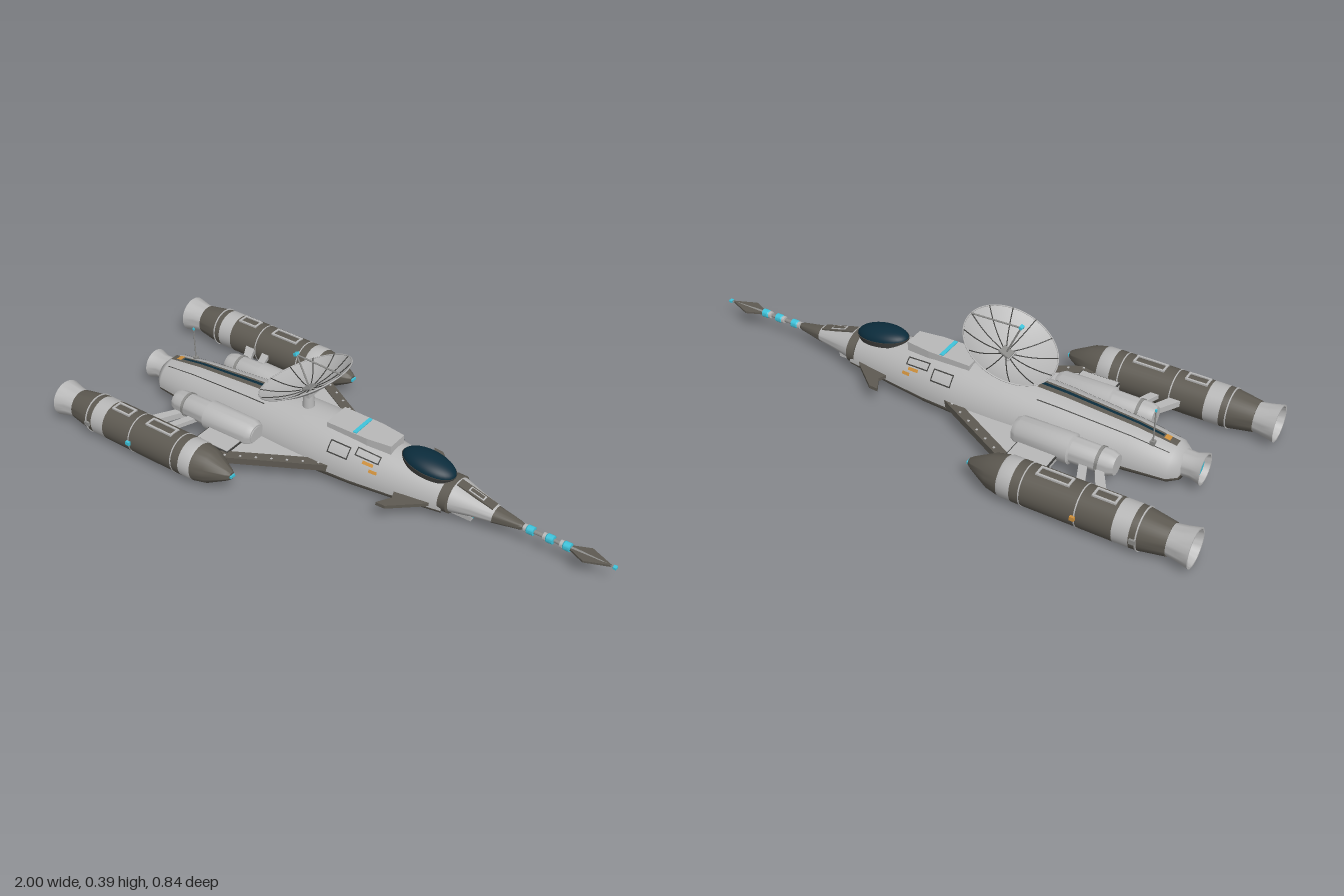
import * as THREE from 'three';
import { toCreasedNormals } from 'three/addons/utils/BufferGeometryUtils.js';

const mat = (name, color, side = THREE.FrontSide) => {
  const m = new THREE.MeshStandardMaterial({ color, side });
  m.name = name;
  return m;
};

export function createModel() {
  const root = new THREE.Group();
  root.name = 'spaceship';
  const light = mat('light hull grey', 0xb8b8b8);
  const dishGrey = mat('dish grey', 0xb8b8b8, THREE.DoubleSide);
  const mid = mat('mid grey', 0x8c8c8a);
  const dark = mat('dark warm grey', 0x5e5a52);
  const trim = mat('charcoal trim', 0x3e3e3c);
  const glass = mat('canopy blue', 0x0b2c3c);
  const cyan = mat('cyan light', 0x3fc4dc);
  const orange = mat('orange marker', 0xd0913c);

  const add = (name, geo, m, x = 0, y = 0, z = 0, parent = root) => {
    const mesh = new THREE.Mesh(geo, m);
    mesh.name = name;
    mesh.position.set(x, y, z);
    parent.add(mesh);
    return mesh;
  };
  const box = (name, m, w, h, d, x, y, z, parent) => add(name, new THREE.BoxGeometry(w, h, d), m, x, y, z, parent);
  // Turned part along x from [x, radius] points
  const turned = (name, m, pts, y, z, seg = 32, parent = root) => {
    const g = new THREE.LatheGeometry(pts.map(([x, r]) => new THREE.Vector2(r, x)), seg).rotateZ(-Math.PI / 2);
    return add(name, toCreasedNormals(g, 0.6), m, 0, y, z, parent);
  };
  const rod = (name, m, a, b, r, parent = root) => {
    const curve = new THREE.LineCurve3(new THREE.Vector3(...a), new THREE.Vector3(...b));
    return add(name, new THREE.TubeGeometry(curve, 1, r, 8), m, 0, 0, 0, parent);
  };
  // Flat plate from [x, z] corners with its top at y
  const plate = (name, m, pts, thick, y, s = 1) => {
    const shape = new THREE.Shape(pts.map(([x, z]) => new THREE.Vector2(x, z * s)));
    const g = new THREE.ExtrudeGeometry(shape, { depth: thick, bevelEnabled: false }).rotateX(Math.PI / 2);
    return add(name, g, m, 0, y, 0);
  };

  // Grid of points skinned into a surface
  const surface = (fn, us, nv) => {
    const pos = [], idx = [];
    us.forEach((u, i) => {
      for (let j = 0; j <= nv; j++) {
        pos.push(...fn(u, j / nv));
        if (i && j) {
          const b = i * (nv + 1) + j, a = b - nv - 1;
          idx.push(a - 1, b - 1, b, a - 1, b, a);
        }
      }
    });
    const g = new THREE.BufferGeometry();
    g.setAttribute('position', new THREE.Float32BufferAttribute(pos, 3));
    g.setIndex(idx);
    g.computeVertexNormals();
    return g;
  };

  // Fuselage stations: x, half width, top, bottom
  const seam = 0.058;
  const stations = [
    [-0.825, 0.002, 0.06, 0.056], [-0.82, 0.06, 0.118, 0.03], [-0.79, 0.086, 0.138, 0.022], [-0.65, 0.1, 0.16, 0.01],
    [-0.4, 0.119, 0.181, 0.001], [-0.2, 0.127, 0.189, 0], [-0.05, 0.128, 0.191, 0], [0.08, 0.12, 0.186, 0.004],
    [0.22, 0.102, 0.17, 0.013], [0.32, 0.087, 0.157, 0.021], [0.41, 0.073, 0.144, 0.029]];
  const hullPoint = (x, a, off = 0) => {
    let i = 1;
    while (i < stations.length - 1 && x > stations[i][0]) i++;
    const p = stations[i - 1], q = stations[i], t = (x - p[0]) / (q[0] - p[0]);
    const [, w, top, bot] = p.map((v, k) => v + (q[k] - v) * t);
    const h = Math.sin(a) >= 0 ? top - seam : seam - bot;
    return [x, seam + (h + off) * Math.sin(a), (w + off) * Math.cos(a)];
  };
  const xs = stations.map(s => s[0]);
  const patch = (name, m, x0, x1, a0, a1, off = 0.003, nv = 4) => {
    const us = [x0, ...xs.filter(x => x > x0 && x < x1), x1];
    return add(name, surface((x, v) => hullPoint(x, a0 + (a1 - a0) * v, off), us, nv), m);
  };
  const PI = Math.PI, mid90 = PI / 2;
  patch('upperHull', light, -0.825, 0.41, 0, PI, 0, 32);
  patch('lowerHull', dark, -0.825, 0.41, PI, 2 * PI, 0, 32);

  // Spine stripe and rear deck lines
  patch('spineStripe', dark, -0.79, -0.3, mid90 - 0.17, mid90 + 0.17, 0.005);
  patch('spineLine', glass, -0.74, -0.3, mid90 - 0.05, mid90 + 0.05, 0.008);
  patch('spineMarker', orange, -0.765, -0.745, mid90 - 0.12, mid90 + 0.12, 0.009);
  const panelFrame = (x0, x1, a0, a1) => {
    const t = 0.004, b = 0.035;
    patch('panelLine', trim, x0, x1, a0, a0 + b);
    patch('panelLine', trim, x0, x1, a1 - b, a1);
    patch('panelLine', trim, x0, x0 + t, a0, a1);
    patch('panelLine', trim, x1 - t, x1, a0, a1);
  };
  for (const s of [1, -1]) {
    const A = (lo, hi) => (s > 0 ? [lo, hi] : [PI - hi, PI - lo]);
    patch('deckLine', trim, -0.78, -0.32, ...A(1.03, 1.06));
    panelFrame(-0.02, 0.06, ...A(0.55, 0.9));
    panelFrame(0.08, 0.17, ...A(0.75, 1.0));
    patch('sideMarker', orange, 0.115, 0.155, ...A(0.62, 0.71), 0.005);
    patch('sideMarker', orange, 0.145, 0.175, ...A(0.46, 0.55), 0.005);
  }

  // Tail engine
  turned('tailNozzle', light, [[-0.84, 0], [-0.84, 0.035], [-0.885, 0.048], [-0.885, 0.054], [-0.85, 0.043], [-0.8, 0.045]], 0.078, 0);
  turned('tailGlow', cyan, [[-0.868, 0], [-0.868, 0.036], [-0.86, 0.036]], 0.078, 0);

  // Dorsal deck plate and canopy
  plate('dorsalPlate', light, [[-0.06, -0.052], [0.1, -0.05], [0.19, -0.038], [0.19, 0.038], [0.1, 0.05], [-0.06, 0.052]], 0.04, 0.199);
  box('deckLight', cyan, 0.014, 0.004, 0.094, 0.05, 0.2, 0);
  const canopy = new THREE.Group();
  canopy.name = 'canopy';
  canopy.position.set(0.315, 0.162, 0);
  canopy.rotation.z = -0.13;
  root.add(canopy);
  const dome = new THREE.SphereGeometry(1, 32, 12, 0, 2 * PI, 0, PI / 2);
  add('canopyGlass', dome, glass, 0, 0, 0, canopy).scale.set(0.1, 0.036, 0.056);
  const sill = new THREE.CylinderGeometry(1, 0.94, 0.02, 40);
  add('canopySill', sill, trim, 0, -0.008, 0, canopy).scale.set(0.102, 1, 0.058);

  // Collar and nose cone, wider than tall and drooping forward
  turned('collar', dark, [[0.395, 0], [0.395, 0.076], [0.425, 0.076], [0.43, 0.066], [0.43, 0]], 0.086, 0, 40).scale.y = 0.79;
  const cone = turned('noseCone', light, [[0.425, 0.069], [0.5, 0.049], [0.575, 0.033]], 0.112, 0, 40);
  cone.scale.y = 0.82;
  cone.rotation.z = -0.06;
  turned('noseTip', dark, [[0.568, 0], [0.568, 0.033], [0.66, 0.016], [0.672, 0.011], [0.672, 0]], 0.076, 0, 24).scale.y = 0.88;
  const noseDeck = new THREE.Group();
  noseDeck.name = 'noseDeck';
  noseDeck.position.set(0.5, 0.122, 0);
  noseDeck.rotation.z = -0.27;
  root.add(noseDeck);
  box('noseStripe', dark, 0.14, 0.008, 0.034, 0, 0, 0, noseDeck);
  box('noseFrame', light, 0.06, 0.006, 0.022, 0, 0.003, 0, noseDeck);
  box('noseInset', dark, 0.05, 0.006, 0.013, 0, 0.0045, 0, noseDeck);
  box('chinSensor', light, 0.075, 0.018, 0.044, 0.455, 0.03, 0);
  box('chinLight', cyan, 0.006, 0.009, 0.016, 0.492, 0.03, 0);

  // Probe
  turned('probeBoom', mid, [[0.66, 0.008], [0.86, 0.006], [0.99, 0.003], [0.99, 0]], 0.075, 0, 12);
  for (const x of [0.7, 0.77, 0.83]) {
    turned('probeRing', light, [[x - 0.026, 0.007], [x - 0.024, 0.013], [x - 0.014, 0.013], [x - 0.012, 0.007]], 0.075, 0, 16);
    turned('probeLight', cyan, [[x - 0.014, 0.012], [x - 0.01, 0.015], [x + 0.012, 0.015], [x + 0.014, 0.006]], 0.075, 0, 16);
  }
  plate('probeBlade', dark, [[0.82, 0], [0.9, -0.035], [0.985, 0], [0.9, 0.035]], 0.007, 0.0785);
  box('probeTip', cyan, 0.012, 0.008, 0.014, 0.994, 0.075, 0);

  for (const s of [1, -1]) {
    // Wings, struts and foreplanes
    plate('wing', light, [[-0.02, 0.1], [-0.34, 0.285], [-0.46, 0.285], [-0.46, 0.08]], 0.02, 0.08, s);
    plate('wingEdge', dark, [[0.02, 0.11], [-0.02, 0.13], [-0.33, 0.3], [-0.36, 0.3], [-0.36, 0.275], [-0.06, 0.11]], 0.024, 0.084, s);
    plate('wingPanelEdge', trim, [[-0.464, 0.186], [-0.321, 0.186], [-0.321, 0.266], [-0.464, 0.266]], 0.006, 0.085, s);
    plate('wingPanel', light, [[-0.46, 0.19], [-0.325, 0.19], [-0.325, 0.262], [-0.46, 0.262]], 0.006, 0.087, s);
    for (let i = 0; i < 7; i++) {
      const t = i / 6;
      box('wingRivet', light, 0.007, 0.003, 0.007, -0.04 - 0.28 * t, 0.085, s * (0.128 + 0.152 * t));
    }
    plate('rearStrut', light, [[-0.6, 0.14], [-0.57, 0.14], [-0.65, 0.29], [-0.69, 0.29]], 0.022, 0.086, s);
    plate('rearStrutInner', light, [[-0.55, 0.14], [-0.52, 0.14], [-0.58, 0.29], [-0.61, 0.29]], 0.016, 0.083, s);
    plate('foreplane', dark, [[0.37, 0.075], [0.36, 0.088], [0.26, 0.174], [0.225, 0.176], [0.255, 0.125], [0.24, 0.09]], 0.012, 0.076, s);

    // Inboard engine
    turned('inboardEngine', light, [[-0.65, 0], [-0.65, 0.034], [-0.63, 0.042], [-0.5, 0.044], [-0.495, 0.052],
      [-0.31, 0.05], [-0.292, 0.04], [-0.292, 0]], 0.095, s * 0.143);
    turned('inboardBand', mid, [[-0.6, 0.04], [-0.6, 0.0455], [-0.59, 0.0455], [-0.59, 0.04]], 0.095, s * 0.143);
    turned('inboardIntake', light, [[-0.292, 0.034], [-0.289, 0.034], [-0.289, 0]], 0.095, s * 0.143);
    box('engineMount', mid, 0.12, 0.03, 0.05, -0.42, 0.09, s * 0.11);

    // Outboard engine pod
    const pod = new THREE.Group();
    pod.name = 'enginePod';
    pod.position.set(0, 0.075, s * 0.343);
    root.add(pod);
    const part = (name, m, pts) => turned(name, m, pts, 0, 0, 36, pod);
    part('podNozzle', light, [[-0.94, 0], [-0.94, 0.04], [-1, 0.059], [-1, 0.065], [-0.96, 0.056], [-0.92, 0.05]]);
    part('podGlow', cyan, [[-0.972, 0], [-0.972, 0.043], [-0.96, 0.043]]);
    part('podTail', dark, [[-0.925, 0], [-0.925, 0.054], [-0.84, 0.068], [-0.81, 0.07]]);
    part('podRearBand', light, [[-0.815, 0.07], [-0.76, 0.07]]);
    part('podBody', dark, [[-0.76, 0.07], [-0.415, 0.07]]);
    part('podFrontBand', light, [[-0.415, 0.07], [-0.375, 0.07], [-0.365, 0.066]]);
    part('podNose', dark, [[-0.367, 0.068], [-0.32, 0.058], [-0.25, 0.022], [-0.237, 0.013], [-0.237, 0]]);
    box('podTipLight', cyan, 0.009, 0.009, 0.022, -0.236, 0, 0, pod);
    for (const x of [-0.84, -0.64, -0.45]) {
      part('podRing', light, [[x, 0.067], [x, 0.0715], [x + 0.004, 0.0715], [x + 0.004, 0.067]]);
    }
    for (const [x0, x1] of [[-0.75, -0.67], [-0.595, -0.48]]) {
      const c = (x0 + x1) / 2;
      for (const e of [1, -1]) {
        box('podPanelLine', light, x1 - x0, 0.007, 0.007, c, 0.069, e * 0.018, pod);
        box('podPanelLine', light, 0.007, 0.006, 0.036, c + e * (x1 - x0 - 0.007) / 2, 0.07, 0, pod);
      }
    }
    box('podSideLight', s > 0 ? cyan : orange, 0.016, 0.014, 0.014, -0.635, 0.003, s * 0.072, pod);
    box('podPipe', mid, 0.02, 0.016, 0.012, -0.83, 0, s * 0.07, pod);
  }

  // Dish mount and tilted dish
  add('dishColumn', new THREE.CylinderGeometry(0.018, 0.022, 0.07, 20), light, -0.175, 0.212, 0);
  box('dishBracket', light, 0.04, 0.016, 0.054, -0.172, 0.248, 0);
  const dish = new THREE.Group();
  dish.name = 'dish';
  dish.position.set(-0.187, 0.3, 0);
  dish.rotation.z = 0.43;
  root.add(dish);
  const R = 0.168, bowlY = r => 0.046 * ((r / R) ** 2 - 1);
  const bowl = Array.from({ length: 11 }, (_, i) => new THREE.Vector2(R * i / 10, bowlY(R * i / 10)));
  add('dishBowl', new THREE.LatheGeometry(bowl, 48), dishGrey, 0, 0, 0, dish);
  add('dishRim', new THREE.TorusGeometry(R - 0.001, 0.0025, 6, 48).rotateX(PI / 2), light, 0, 0, 0, dish);
  for (let i = 0; i < 12; i++) {
    const pts = [0.02, 0.07, 0.12, 0.166].map(r => new THREE.Vector3(r, bowlY(r) + 0.0035, 0));
    const rib = add('dishRib', new THREE.TubeGeometry(new THREE.CatmullRomCurve3(pts), 8, 0.0018, 5), trim, 0, 0, 0, dish);
    rib.rotation.y = i * PI / 6;
  }
  box('dishHub', mid, 0.04, 0.008, 0.04, 0, -0.04, 0, dish);
  rod('feedMast', mid, [0, -0.042, 0], [0, 0.085, 0], 0.003, dish);
  rod('feedArm', mid, [R, 0, 0], [0, 0.084, 0], 0.003, dish);
  box('feedLight', cyan, 0.012, 0.01, 0.018, 0, 0.087, 0, dish);

  // Whip antenna
  rod('antenna', mid, [-0.72, 0.13, -0.04], [-0.72, 0.268, -0.04], 0.0025);
  box('antennaTip', cyan, 0.006, 0.008, 0.006, -0.72, 0.268, -0.04);
  box('antennaBase', mid, 0.016, 0.016, 0.016, -0.72, 0.143, -0.04);
  return root;
}
